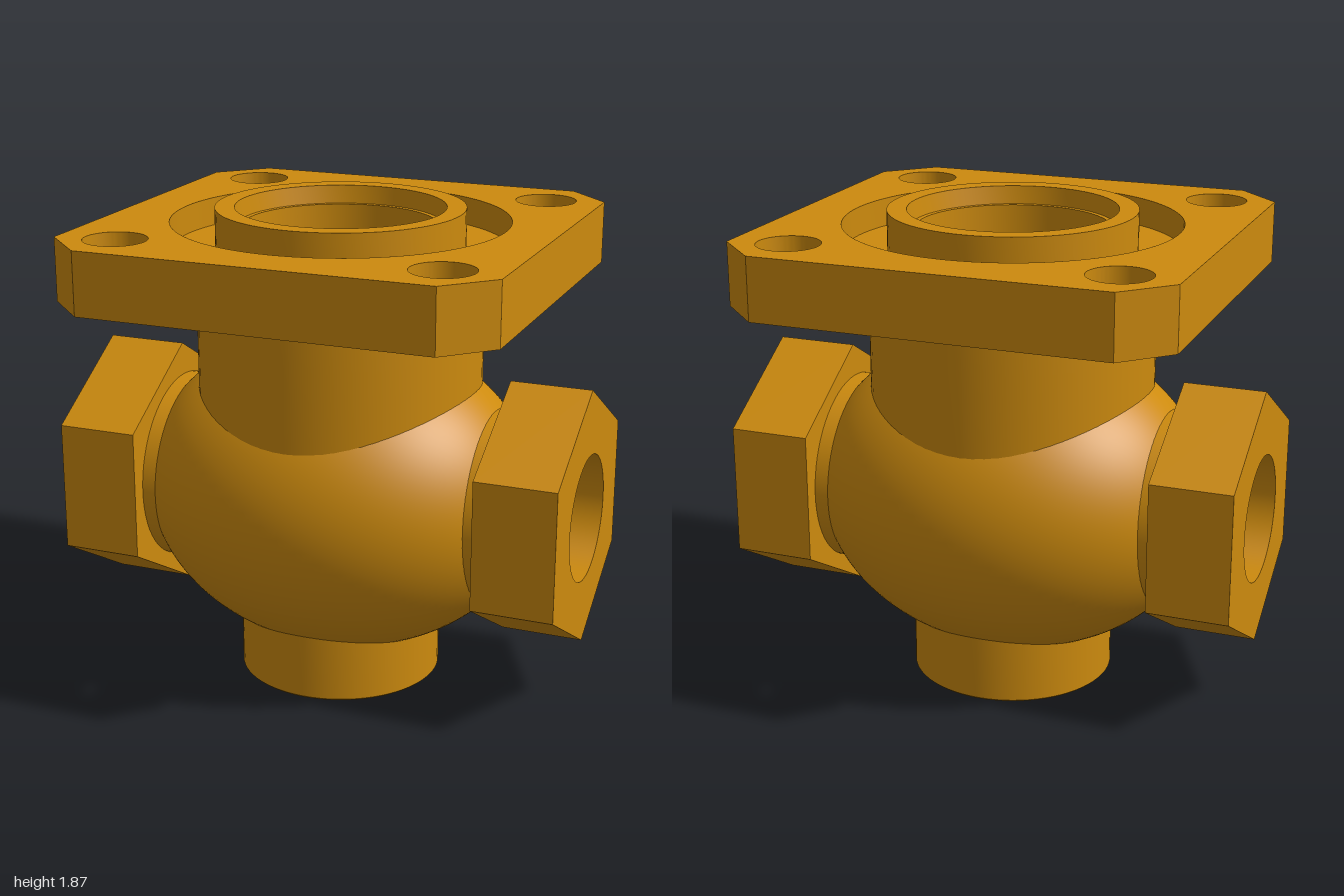
import * as THREE from 'three';
import { toCreasedNormals } from 'three/addons/utils/BufferGeometryUtils.js';

const material = new THREE.MeshStandardMaterial({ color: 0xcc8a0e });
const openMaterial = new THREE.MeshStandardMaterial({ color: 0xcc8a0e, side: THREE.DoubleSide });
const PORT_Y = 0.755;

function add(parent, name, geometry, mat = material) {
  const mesh = new THREE.Mesh(geometry, mat);
  mesh.name = name;
  parent.add(mesh);
  return mesh;
}

function lathe(points) {
  const profile = points.map(([r, y]) => new THREE.Vector2(r, y));
  return toCreasedNormals(new THREE.LatheGeometry(profile, 72), 0.6);
}

function hole(x, y, radius) {
  return new THREE.Path().absarc(x, y, radius, 0, Math.PI * 2, true);
}

function plate(points, holes, depth) {
  const shape = new THREE.Shape(points.map(([x, y]) => new THREE.Vector2(x, y)));
  shape.holes.push(...holes);
  const geometry = new THREE.ExtrudeGeometry(shape, { depth, bevelEnabled: false, curveSegments: 48 });
  return toCreasedNormals(geometry, 0.6);
}

// Ellipsoid along x, open at both ports and beneath the neck
function bodyGeometry() {
  const a = 0.785, b = 0.63, cut = Math.acos(0.64 / a);
  const geometry = new THREE.SphereGeometry(1, 96, 64, 0, Math.PI * 2, cut, Math.PI - 2 * cut);
  geometry.rotateZ(Math.PI / 2).scale(a, b, b).translate(0, 0.75, 0);
  const p = geometry.attributes.position;
  const index = geometry.index.array, kept = [];
  for (let i = 0; i < index.length; i += 3) {
    const tri = [index[i], index[i + 1], index[i + 2]];
    const x = tri.reduce((s, v) => s + p.getX(v), 0) / 3;
    const y = tri.reduce((s, v) => s + p.getY(v), 0) / 3;
    const z = tri.reduce((s, v) => s + p.getZ(v), 0) / 3;
    if (y < 0.8 || Math.hypot(x, z) > 0.45) kept.push(...tri);
  }
  geometry.setIndex(kept);
  return geometry;
}

// Hexagonal pipe end with its collar and bore, built along +x
function createPort() {
  const port = new THREE.Group();
  const corners = Array.from({ length: 6 }, (_, i) => {
    const t = Math.PI / 2 + i * Math.PI / 3;
    return [0.505 * Math.cos(t), 0.505 * Math.sin(t)];
  });
  const hex = plate(corners, [hole(0, 0, 0.245)], 0.315);
  add(port, 'hexEnd', hex.rotateY(Math.PI / 2).translate(0.685, 0, 0));

  const collar = new THREE.CylinderGeometry(0.375, 0.375, 0.09, 64, 1, true);
  add(port, 'portCollar', collar.rotateZ(Math.PI / 2).translate(0.645, 0, 0), openMaterial);

  const bore = new THREE.CylinderGeometry(0.245, 0.245, 0.305, 48, 1, true);
  add(port, 'portBore', bore.rotateZ(Math.PI / 2).translate(0.5325, 0, 0), openMaterial);

  const wall = new THREE.CircleGeometry(0.245, 48);
  add(port, 'portInnerWall', wall.rotateY(Math.PI / 2).translate(0.38, 0, 0), openMaterial);

  port.position.y = PORT_Y;
  return port;
}

export function createModel() {
  const model = new THREE.Group();
  model.name = 'valveBody';

  add(model, 'body', bodyGeometry(), openMaterial);

  // Closed boss under the body
  add(model, 'bottomBoss', lathe([[0, 0], [0.39, 0], [0.397, 0.007], [0.397, 0.4]]));

  // Neck, ending in the flange's underside
  add(model, 'neck', lathe([[0.55, 1], [0.55, 1.38], [0.55, 1.58], [0.645, 1.58]]), openMaterial);

  // Square flange with chamfered corners and four bolt holes
  const s = 0.845, c = 0.675;
  const outline = [[s, -c], [s, c], [c, s], [-c, s], [-s, c], [-s, -c], [-c, -s], [c, -s]];
  const holes = [hole(0, 0, 0.645)];
  for (const x of [-1, 1]) for (const z of [-1, 1]) holes.push(hole(x * 0.622, z * 0.625, 0.119));
  const flange = plate(outline, holes, 0.24);
  add(model, 'flange', flange.rotateX(-Math.PI / 2).translate(0, 1.58, 0));

  // Groove, raised rim, stepped chamber and valve seat
  add(model, 'chamber', lathe([
    [0.645, 1.82], [0.645, 1.71], [0.475, 1.71], [0.475, 1.87], [0.4, 1.87],
    [0.39, 1.8], [0.37, 1.8], [0.37, 0.86], [0.24, 0.86], [0.24, 0.8],
    [0.165, 0.8], [0.165, 0.5], [0, 0.5],
  ]), openMaterial);

  // Matching ports on both sides
  for (const [name, turn] of [['leftPort', 0], ['rightPort', Math.PI]]) {
    const port = createPort();
    port.name = name;
    port.rotation.y = turn;
    model.add(port);
  }
  return model;
}
